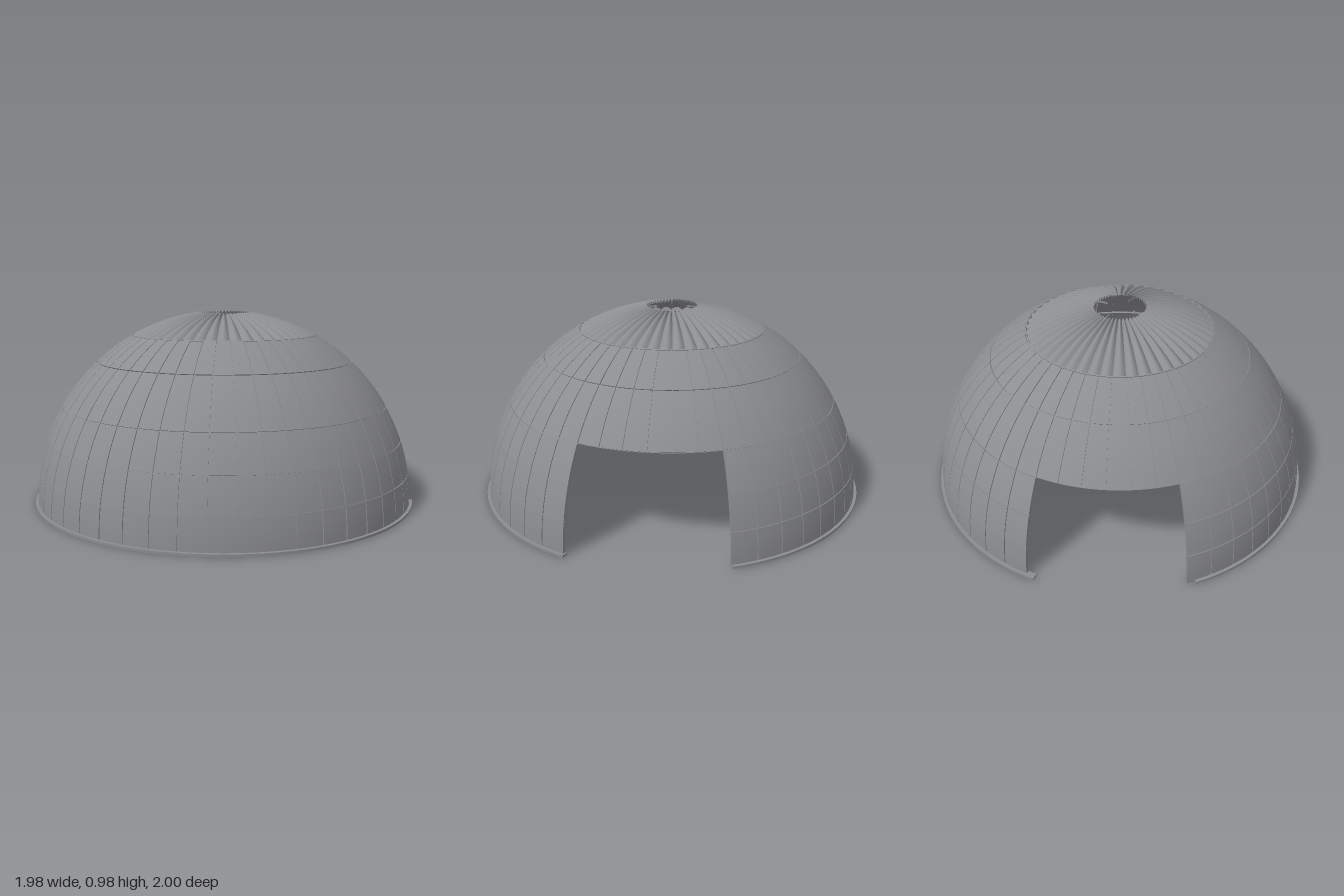
import * as THREE from 'three';
import { mergeGeometries } from 'three/addons/utils/BufferGeometryUtils.js';

const R = 0.985;
const STEP = 7.5;                                   // one panel, in degrees
const rad = THREE.MathUtils.degToRad;
const elev = (y) => THREE.MathUtils.radToDeg(Math.asin(y / R));

// Mappings from (angle, elevation or height, radius) to space
const sphere = (a, e, r) => new THREE.Vector3(
  r * Math.cos(rad(e)) * Math.sin(rad(a)), r * Math.sin(rad(e)), r * Math.cos(rad(e)) * Math.cos(rad(a)));
const cylinder = (a, y, r) => new THREE.Vector3(r * Math.sin(rad(a)), y, r * Math.cos(rad(a)));

// Grid surface from a function of u, v in 0..1
function sheet(f, nu, nv) {
  const pos = [], idx = [];
  for (let j = 0; j <= nv; j++) {
    for (let i = 0; i <= nu; i++) pos.push(...f(i / nu, j / nv).toArray());
  }
  for (let j = 0; j < nv; j++) {
    for (let i = 0; i < nu; i++) {
      const a = j * (nu + 1) + i, b = a + 1, c = a + nu + 1, d = c + 1;
      idx.push(a, b, d, a, d, c);
    }
  }
  const g = new THREE.BufferGeometry();
  g.setAttribute('position', new THREE.Float32BufferAttribute(pos, 3));
  g.setIndex(idx);
  g.computeVertexNormals();
  return g;
}

// Closed curved block between two angles, two elevations and two radii
function block(map, a0, a1, e0, e1, r0, r1, na, ne) {
  const p = (u, v, w) => map(a0 + (a1 - a0) * u, e0 + (e1 - e0) * v, r0 + (r1 - r0) * w);
  return mergeGeometries([
    sheet((u, v) => p(u, v, 1), na, ne),
    sheet((u, v) => p(1 - u, v, 0), na, ne),
    sheet((u, v) => p(1 - u, 1, v), na, 1),
    sheet((u, v) => p(u, 0, v), na, 1),
    sheet((u, v) => p(1, u, v), ne, 1),
    sheet((u, v) => p(0, 1 - u, v), ne, 1),
  ]);
}

export function createModel() {
  const group = new THREE.Group();
  const shellGrey = new THREE.MeshStandardMaterial({ color: 0x8c8d91, side: THREE.DoubleSide });
  shellGrey.name = 'shellGrey';
  const add = (name, geos) => {
    const mesh = new THREE.Mesh(mergeGeometries(geos), shellGrey);
    mesh.name = name;
    mesh.position.x = -0.0075;                       // the rail reaches further on the left
    group.add(mesh);
  };

  const rows = [0, 0.165, 0.33, 0.5, 0.725, 0.86].map(elev);
  const walls = [[-82.5, 105], [150, 232.5]];        // standing parts of the lower wall
  const full = [[0, 360]];

  // Wall panels, separated by narrow grooves
  const lower = [], upper = [];
  for (let k = 0; k < 5; k++) {
    for (const [from, to] of k < 3 ? walls : full) {
      for (let a = from; a < to - 0.1; a += STEP) {
        const gap = 0.13 / Math.cos(rad(rows[k]));
        (k < 3 ? lower : upper).push(block(sphere, a + gap, a + STEP - gap,
          rows[k] + 0.13, rows[k + 1] - 0.13, R - 0.016, R, 4, 4));
      }
    }
  }
  add('lowerPanels', lower);
  add('upperPanels', upper);

  // Core sheet behind the grooves
  const core = walls.map(([a, b]) =>
    block(sphere, a + 0.15, b - 0.15, 0, rows[3], R - 0.01, R - 0.006, 96, 18));
  core.push(block(sphere, 0, 360, rows[3], rows[5], R - 0.01, R - 0.006, 192, 18));
  add('panelCore', core);

  // Fluted cap around the open oculus, its pleats equally deep from edge to edge
  const capTop = elev(0.976);
  const flutes = [];
  for (let n = 0; n < 48; n++) {
    flutes.push(sheet((u, v) => sphere((n + u) * STEP, rows[5] + (capTop - rows[5]) * v,
      R - 0.016 * (1 - Math.sin(Math.PI * u))), 12, 10));
  }
  add('flutedCap', flutes);

  // Ring that closes the pleats at the foot of the cap
  add('capRing', [block(sphere, 0, 360, rows[5], rows[5] + 0.35, R - 0.02, R, 192, 1)]);

  // Hoops inside the dome
  add('innerHoops', [rows[3] + 0.5, rows[4], rows[5]].map((e) =>
    block(sphere, 0, 360, e - 0.35, e + 0.35, R - 0.026, R - 0.008, 144, 1)));

  // Paired ribs inside the dome, every 45 degrees
  const ribs = [];
  for (let a = 0; a < 360; a += 45) {
    const start = a === 135 || a === 270 ? rows[3] + 0.15 : 0;
    for (const side of [-1, 1]) {
      const rib = (t, e, r) => {
        const p = sphere(a, e, r);
        p.x += t * Math.cos(rad(a));
        p.z -= t * Math.sin(rad(a));
        return p;
      };
      const c = side * 0.011;
      ribs.push(block(rib, c - 0.005, c + 0.005, start, rows[5], R - 0.032, R - 0.012, 1, 32));
    }
  }
  add('innerRibs', ribs);

  // Four thin tips reaching into the oculus
  add('oculusTips', [45, 135, 225, 315].map((a) =>
    block(sphere, a - 1, a + 1, capTop - 1, 85.6, R - 0.018, R - 0.01, 1, 3)));

  // Base rail under each wall
  add('baseRail', [[-80, 105.3], [150.2, 235]].map(([a, b]) =>
    block(cylinder, a, b, 0, 0.012, 0.968, 1, 96, 1)));

  return group;
}
